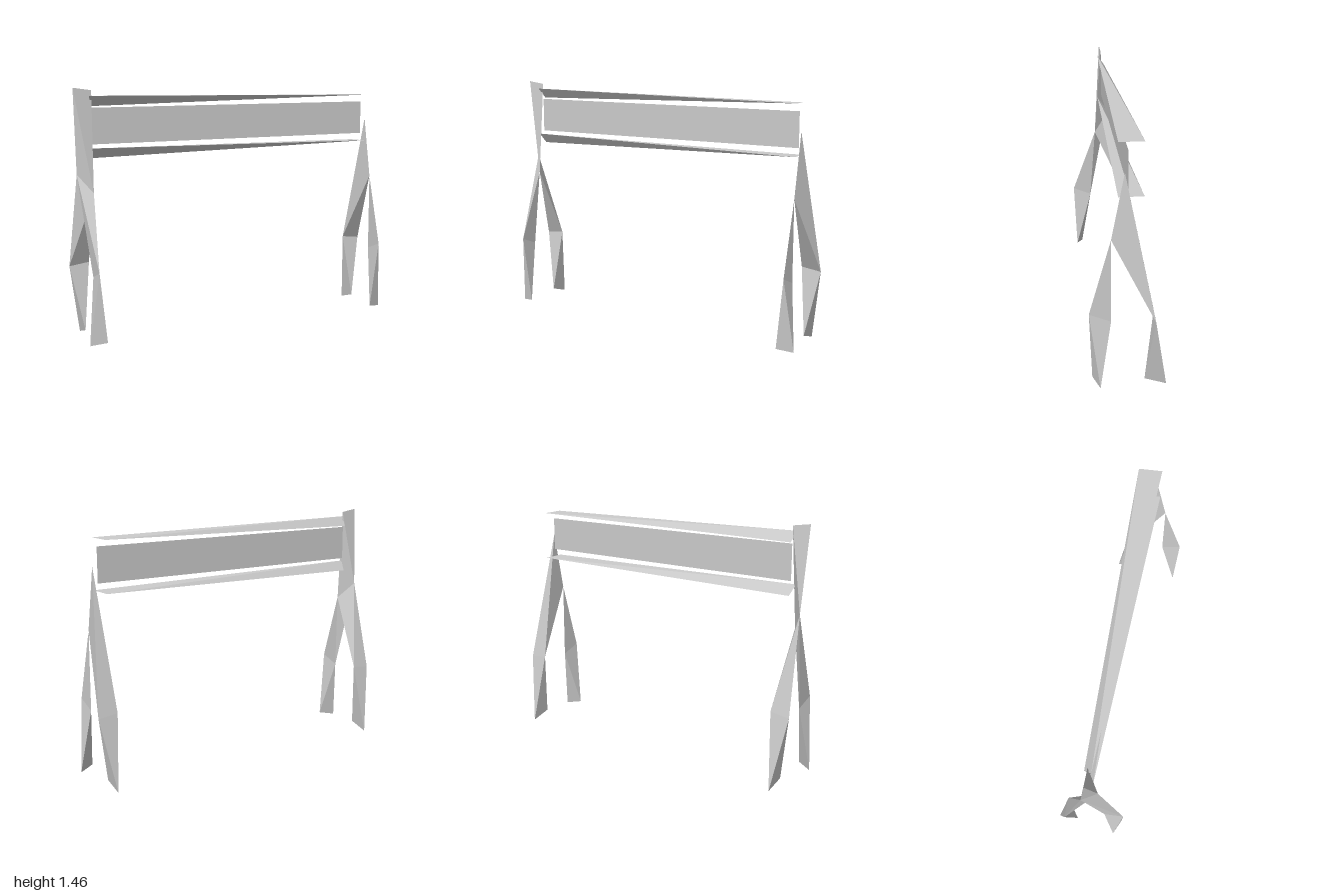
import * as THREE from 'three';

const material = new THREE.MeshStandardMaterial({ color: 0xcccccc, flatShading: true, side: THREE.DoubleSide });

function facets(name, corners, faces) {
  const points = faces.flat().map((i) => new THREE.Vector3(...corners[i]));
  const geometry = new THREE.BufferGeometry().setFromPoints(points);
  geometry.computeVertexNormals();
  const mesh = new THREE.Mesh(geometry, material);
  mesh.name = name;
  return mesh;
}

// Twisted beam: a solid spanning two edges that lie crosswise to each other
function beam(name, [a, b], [c, d]) {
  const v = [a, b, c, d].map((p) => new THREE.Vector3(...p));
  const volume = v[1].clone().sub(v[0]).cross(v[2].clone().sub(v[0])).dot(v[3].clone().sub(v[0]));
  const corners = volume > 0 ? [a, b, c, d] : [b, a, c, d];
  return facets(name, corners, [[0, 2, 1], [0, 1, 3], [1, 2, 3], [0, 3, 2]]);
}

// Pair of bent legs on one side (s = +1 or -1), hung from the given hip edges
function legs(s, backHip, frontHip) {
  const group = new THREE.Group();
  group.name = s > 0 ? 'leftLegs' : 'rightLegs';
  const backKnee = [[s * 1.0, 0.42, -0.138], [s * 0.882, 0.435, -0.138]];
  const backFoot = [[s * 0.928, 0.0, -0.208], [s * 0.928, 0.038, -0.088]];
  const frontKnee = [[s * 0.928, 0.445, 0.212], [s * 0.928, 0.398, 0.094]];
  const frontFoot = [[s * 0.883, 0.035, 0.194], [s * 0.975, 0.018, 0.155]];
  group.add(
    beam('backUpperLeg', backHip, backKnee),
    beam('backLowerLeg', backKnee, backFoot),
    beam('frontLowerLeg', frontKnee, frontFoot),
    frontHip.length === 2
      ? beam('frontUpperLeg', frontHip, frontKnee)
      : facets('frontUpperLeg', [...frontHip, ...frontKnee], [[0, 1, 2]])
  );
  return group;
}

export function createModel() {
  const model = new THREE.Group();
  model.name = 'barrier';

  // Left trestle: the front leg leans on the back one
  const top = [0.926, 1.235, 0.024];
  const joint = [0.926, 0.87, 0.094];
  model.add(legs(1, [top, joint], [joint]));

  // Right trestle: a post above the twisted waist
  const waist = [[-0.975, 0.97, -0.02], [-0.902, 0.87, 0.06]];
  model.add(legs(-1, waist, waist));
  model.add(beam('post', [[-0.997, 1.457, 0.022], [-0.89, 1.442, 0.018]], waist));

  // Two rails, upright at the post and lying flat at the far end
  for (const [name, y] of [['upperRail', 1.385], ['lowerRail', 1.093]]) {
    model.add(beam(name,
      [[-0.91, y + 0.027, 0.04], [-0.892, y - 0.032, -0.003]],
      [[0.905, y + 0.003, 0.056], [0.895, y, -0.08]]));
  }

  // Board between the rails
  model.add(facets('board',
    [[-0.892, 1.14, 0.015], [0.905, 1.14, 0.005], [0.905, 1.343, 0.005], [-0.892, 1.345, 0.015]],
    [[0, 1, 2], [0, 2, 3]]));

  return model;
}
